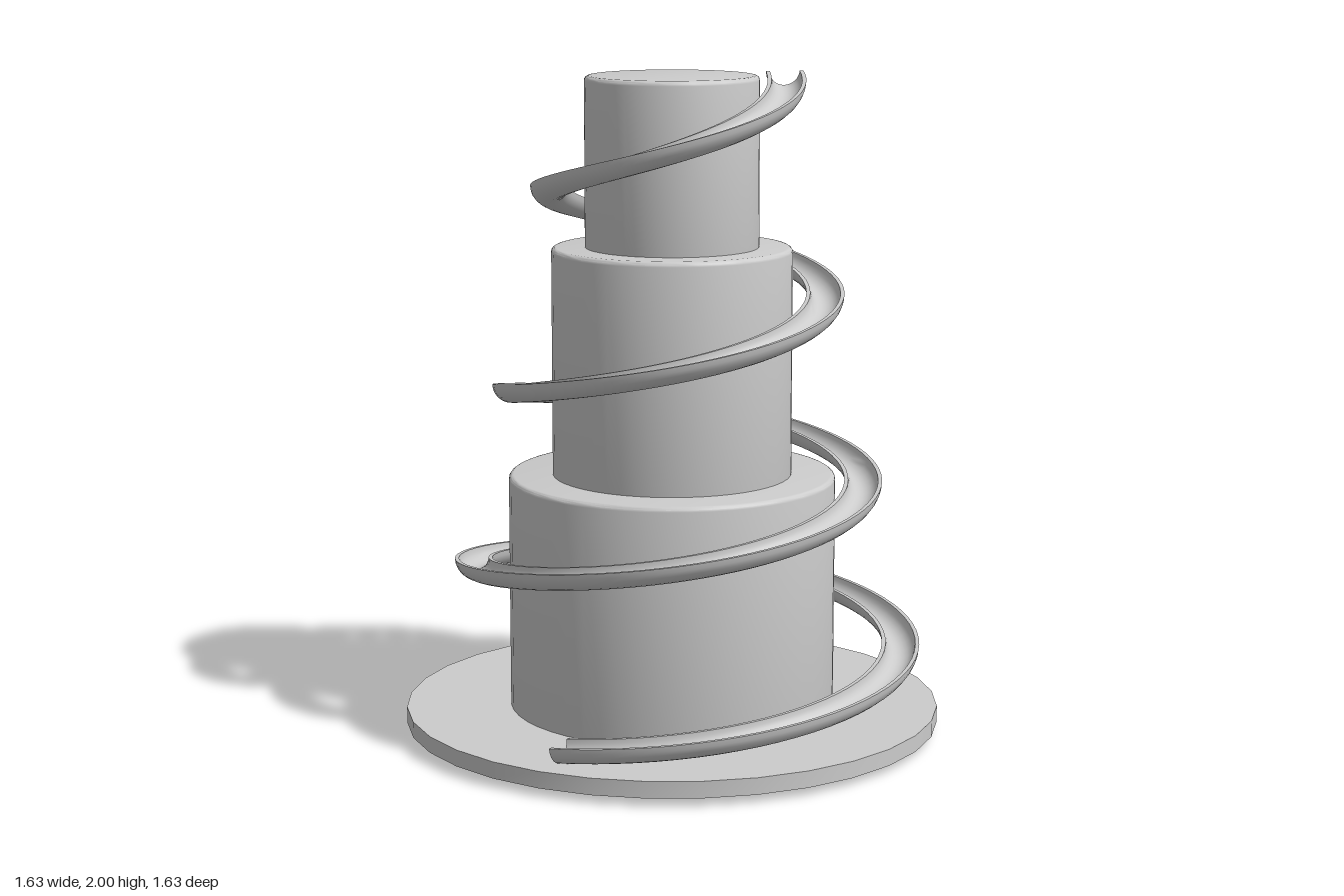
import * as THREE from 'three';
import { toCreasedNormals } from 'three/addons/utils/BufferGeometryUtils.js';

const material = new THREE.MeshStandardMaterial({ color: 0xcccccc });

function addMesh(group, name, geometry) {
  const mesh = new THREE.Mesh(toCreasedNormals(geometry, 0.6), material);
  mesh.name = name;
  group.add(mesh);
  return mesh;
}

// Cylinder with small rounded top and bottom edges
function roundedCylinder(radius, y0, y1, bevel = 0.015) {
  const points = [new THREE.Vector2(0, y0)];
  const corner = (cy, start) => {
    for (let i = 0; i <= 4; i++) {
      const a = start + (i / 4) * Math.PI / 2;
      points.push(new THREE.Vector2(radius - bevel + bevel * Math.cos(a), cy + bevel * Math.sin(a)));
    }
  };
  corner(y0 + bevel, -Math.PI / 2);
  corner(y1 - bevel, 0);
  points.push(new THREE.Vector2(0, y1));
  return new THREE.LatheGeometry(points, 48);
}

// Half-pipe swept along a rising, narrowing spiral; u counts turns from the front
function spiralChute() {
  const uStart = -0.095, uEnd = 3.25, steps = 260, arc = 12;
  const outer = 0.057, inner = 0.045;
  const profile = [];
  for (let i = 0; i <= arc; i++) profile.push([outer, -Math.PI * i / arc]);
  for (let i = arc; i >= 0; i--) profile.push([inner, -Math.PI * i / arc]);
  const n = profile.length;

  const centre = (u) => {
    const a = Math.PI / 2 - u * Math.PI * 2;
    const r = 0.766 - 0.1195 * u - outer;
    return new THREE.Vector3(0.016 + r * Math.cos(a), 0.175 + 0.455 * u + 0.0328 * u * u, 0.004 + r * Math.sin(a));
  };

  const positions = [], index = [];
  for (let s = 0; s <= steps; s++) {
    const u = uStart + (uEnd - uStart) * s / steps;
    const c = centre(u);
    const tangent = centre(u + 0.001).sub(centre(u - 0.001)).normalize();
    const side = tangent.clone().cross(new THREE.Vector3(0, 1, 0)).normalize();
    const up = side.clone().cross(tangent);
    for (const [r, a] of profile) {
      const p = c.clone().addScaledVector(side, r * Math.cos(a)).addScaledVector(up, r * Math.sin(a));
      positions.push(p.x, p.y, p.z);
    }
  }
  for (let s = 0; s < steps; s++) {
    for (let j = 0; j < n; j++) {
      const k = (j + 1) % n;
      const a = s * n + j, b = s * n + k, c = a + n, d = b + n;
      index.push(a, b, c, b, d, c);
    }
  }
  // End faces between the outer and inner arcs
  const last = steps * n;
  for (let i = 0; i < arc; i++) {
    const a = i, b = i + 1, c = n - 2 - i, d = n - 1 - i;
    index.push(a, c, b, a, d, c);
    index.push(last + a, last + b, last + c, last + a, last + c, last + d);
  }
  const geometry = new THREE.BufferGeometry();
  geometry.setAttribute('position', new THREE.Float32BufferAttribute(positions, 3));
  geometry.setIndex(index);
  // Outward direction check: side must point away from the axis
  return geometry;
}

export function createModel() {
  const group = new THREE.Group();
  group.name = 'spiralTower';

  // Flat round base
  const base = addMesh(group, 'base', new THREE.CylinderGeometry(0.813, 0.813, 0.05, 32));
  base.position.y = 0.05;

  // Three stacked tiers
  addMesh(group, 'lowerTier', roundedCylinder(0.495, 0, 0.79));
  addMesh(group, 'middleTier', roundedCylinder(0.362, 0.775, 1.48));
  addMesh(group, 'upperTier', roundedCylinder(0.261, 1.465, 1.99));

  // Open channel winding around the tower
  addMesh(group, 'spiralChute', spiralChute());
  return group;
}
